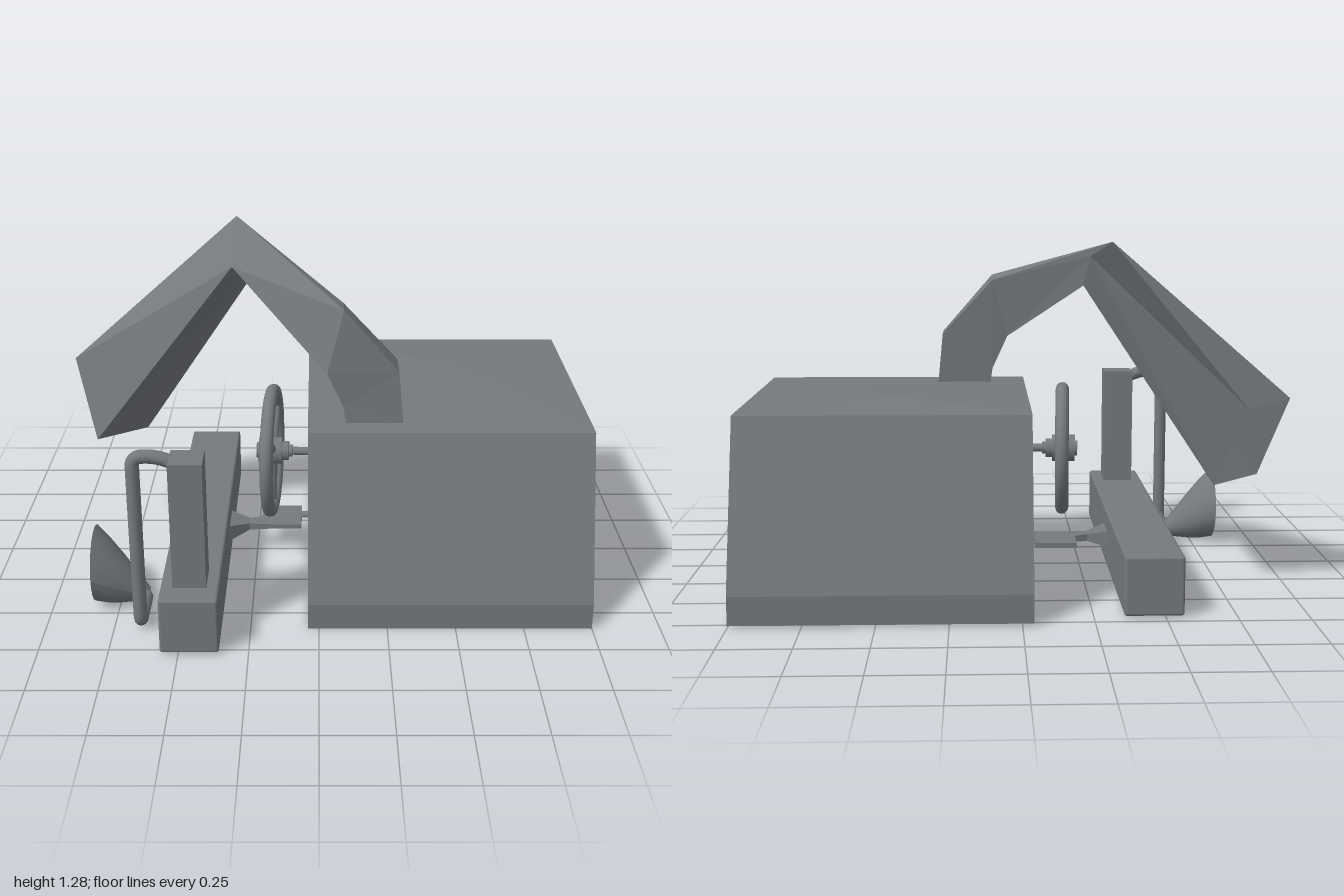
import * as THREE from 'three';
import { RoundedBoxGeometry } from 'three/addons/geometries/RoundedBoxGeometry.js';

const color = 0x75797e;
const mat = new THREE.MeshStandardMaterial({ color });
const flat = new THREE.MeshStandardMaterial({ color, flatShading: true, side: THREE.DoubleSide });
const open = new THREE.MeshStandardMaterial({ color, side: THREE.DoubleSide });
const V = (x, y, z) => new THREE.Vector3(x, y, z);

function add(parent, name, geometry, material = mat) {
  const mesh = new THREE.Mesh(geometry, material);
  mesh.name = name;
  parent.add(mesh);
  return mesh;
}

// Box given by its limits on each axis
function box(x0, x1, y0, y1, z0, z1) {
  return new THREE.BoxGeometry(x1 - x0, y1 - y0, z1 - z0)
    .translate((x0 + x1) / 2, (y0 + y1) / 2, (z0 + z1) / 2);
}

// Separate flat triangles from a list of corner coordinates
function triangles(pos) {
  const g = new THREE.BufferGeometry();
  g.setAttribute('position', new THREE.Float32BufferAttribute(pos, 3));
  g.computeVertexNormals();
  return g;
}

// Open faceted skin over four-cornered sections; flip swaps the diagonals
function loft(sections, flip = false) {
  const pos = [];
  for (let i = 0; i < sections.length - 1; i++) {
    for (let k = 0; k < 4; k++) {
      const n = (k + 1) % 4;
      const a = sections[i][k], b = sections[i][n];
      const c = sections[i + 1][n], d = sections[i + 1][k];
      if (flip) pos.push(...a, ...d, ...b, ...b, ...d, ...c);
      else pos.push(...a, ...c, ...b, ...a, ...d, ...c);
    }
  }
  return triangles(pos);
}

// Straight runs joined by rounded bends
function roundedPath(points, r) {
  const path = new THREE.CurvePath();
  let from = points[0];
  for (let i = 1; i < points.length - 1; i++) {
    const p = points[i];
    const a = p.clone().add(points[i - 1].clone().sub(p).setLength(r));
    const b = p.clone().add(points[i + 1].clone().sub(p).setLength(r));
    path.add(new THREE.LineCurve3(from, a));
    path.add(new THREE.QuadraticBezierCurve3(a, p, b));
    from = b;
  }
  path.add(new THREE.LineCurve3(from, points[points.length - 1]));
  return path;
}

export function createModel() {
  const model = new THREE.Group();
  model.name = 'machine';

  // Sloped body, profile drawn in z and y, extruded along x
  const profile = new THREE.Shape([
    [0.61, 0], [0.61, 0.1], [0.41, 0.695], [-0.59, 0.695], [-0.785, 0.11], [-0.785, 0.008], [-0.7, 0],
  ].map(([z, y]) => new THREE.Vector2(z, y)));
  add(model, 'body', new THREE.ExtrudeGeometry(profile, { depth: 1.04, bevelEnabled: false })
    .rotateY(-Math.PI / 2).translate(1, 0, 0));

  // Slightly raised top panel: a fan around one peak, with a narrow seam
  const corners = [[-0.04, 0.697, 0.41], [1, 0.697, 0.41], [1, 0.697, -0.59], [-0.04, 0.697, -0.59]];
  add(model, 'topPanel', triangles(
    corners.flatMap((c, i) => [...c, ...corners[(i + 1) % 4], 0.5, 0.72, -0.26])), flat);
  add(model, 'seam', triangles([0.12, 0.706, 0.2, 0.46, 0.722, -0.26, 0.43, 0.719, -0.25]), flat);

  // Bent chute; corners run outer front, inner front, inner back, outer back
  const bend = [[-0.33, 1.285, -0.415], [-0.33, 1.18, -0.05], [-0.24, 1.12, -0.25], [-0.26, 1.23, -0.31]];
  add(model, 'chuteArm', loft([
    [[0.31, 0.69, 0.33], [0.10, 0.69, 0.33], [0.10, 0.69, 0.2], [0.31, 0.69, 0.2]],
    [[0.29, 0.9, 0.325], [0.09, 0.76, 0.325], [0.09, 0.76, 0.195], [0.29, 0.9, 0.195]],
    [[0.09, 1.13, 0.32], [0.03, 0.89, 0.33], [0.03, 0.89, 0.2], [0.09, 1.115, 0.19]],
    bend,
  ]), flat);
  add(model, 'chuteSpout', loft([
    bend,
    [[-1, 0.71, -0.325], [-0.91, 0.4, -0.2], [-0.72, 0.39, -0.35], [-0.82, 0.69, -0.47]],
  ], true), flat);

  // Long floor beam with softened edges, and upright post
  add(model, 'beam', new RoundedBoxGeometry(0.21, 0.212, 1.49, 2, 0.01).translate(-0.46, 0.111, 0.035));
  add(model, 'post', box(-0.52, -0.4, 0.2, 0.697, 0.56, 0.69));

  // Pipe from the post down to the horn
  add(model, 'pipe', new THREE.TubeGeometry(roundedPath([
    V(-0.49, 0.665, 0.61), V(-0.57, 0.695, 0.61), V(-0.65, 0.695, 0.615),
    V(-0.65, 0.032, 0.615), V(-0.65, 0.032, 0.41), V(-0.7, 0.05, 0.405),
  ], 0.036), 120, 0.025, 12));

  // Horn whose axis rises towards the rim
  const horn = new THREE.CylinderGeometry(0.143, 0.025, 0.2, 24, 4, true)
    .rotateZ(Math.PI / 2).translate(-0.74, 0, 0);
  const p = horn.attributes.position;
  for (let i = 0; i < p.count; i++) {
    const t = (-0.64 - p.getX(i)) / 0.2;
    const bulge = 1 + 0.4 * t * (1 - t);
    p.setY(i, p.getY(i) * bulge + 0.033 + 0.122 * t);
    p.setZ(i, p.getZ(i) * bulge + 0.41 - 0.02 * t);
  }
  horn.computeVertexNormals();
  add(model, 'horn', horn, open);

  // Hand wheel, built around its own z axis and turned to face sideways
  const wheel = new THREE.Group();
  wheel.name = 'wheel';
  wheel.position.set(-0.183, 0.46, 0.04);
  wheel.rotation.y = Math.PI / 2 - 0.067;
  model.add(wheel);
  add(wheel, 'rim', new THREE.TorusGeometry(0.235, 0.026, 12, 48));
  for (let i = 0; i < 3; i++) {
    const spoke = new THREE.CylinderGeometry(0.016, 0.02, 0.23, 10).translate(0, 0.12, 0);
    add(wheel, 'spoke', spoke.rotateZ(Math.PI + i * Math.PI * 2 / 3));
  }
  // Stepped hub and its shaft
  for (const [name, r, z0, z1] of [
    ['hubCap', 0.03, -0.06, -0.04], ['hub', 0.053, -0.05, 0.04],
    ['hubStep', 0.037, 0.03, 0.065], ['collar', 0.024, 0.06, 0.08], ['shaft', 0.016, 0.02, 0.16],
  ]) {
    add(wheel, name, new THREE.CylinderGeometry(r, r, z1 - z0, 20)
      .rotateX(Math.PI / 2).translate(0, 0, (z0 + z1) / 2));
  }

  // Pedal: tapered bracket on the beam, flat plate, link into the body
  const pedal = new THREE.Group();
  pedal.name = 'pedal';
  model.add(pedal);
  const section = (x, y, h, z0, z1) =>
    [[x, y + h, z1], [x, y - h, z1], [x, y - h, z0], [x, y + h, z0]];
  add(pedal, 'bracket', loft([
    section(-0.356, 0.112, 0.032, -0.06, 0.08),
    section(-0.28, 0.112, 0.014, -0.03, 0.02),
    section(-0.2, 0.112, 0.01, -0.06, 0.02),
  ]), flat);
  add(pedal, 'plate', box(-0.23, -0.07, 0.102, 0.122, -0.15, 0.02));
  add(pedal, 'link', box(-0.075, -0.035, 0.106, 0.116, -0.11, -0.07));

  return model;
}
